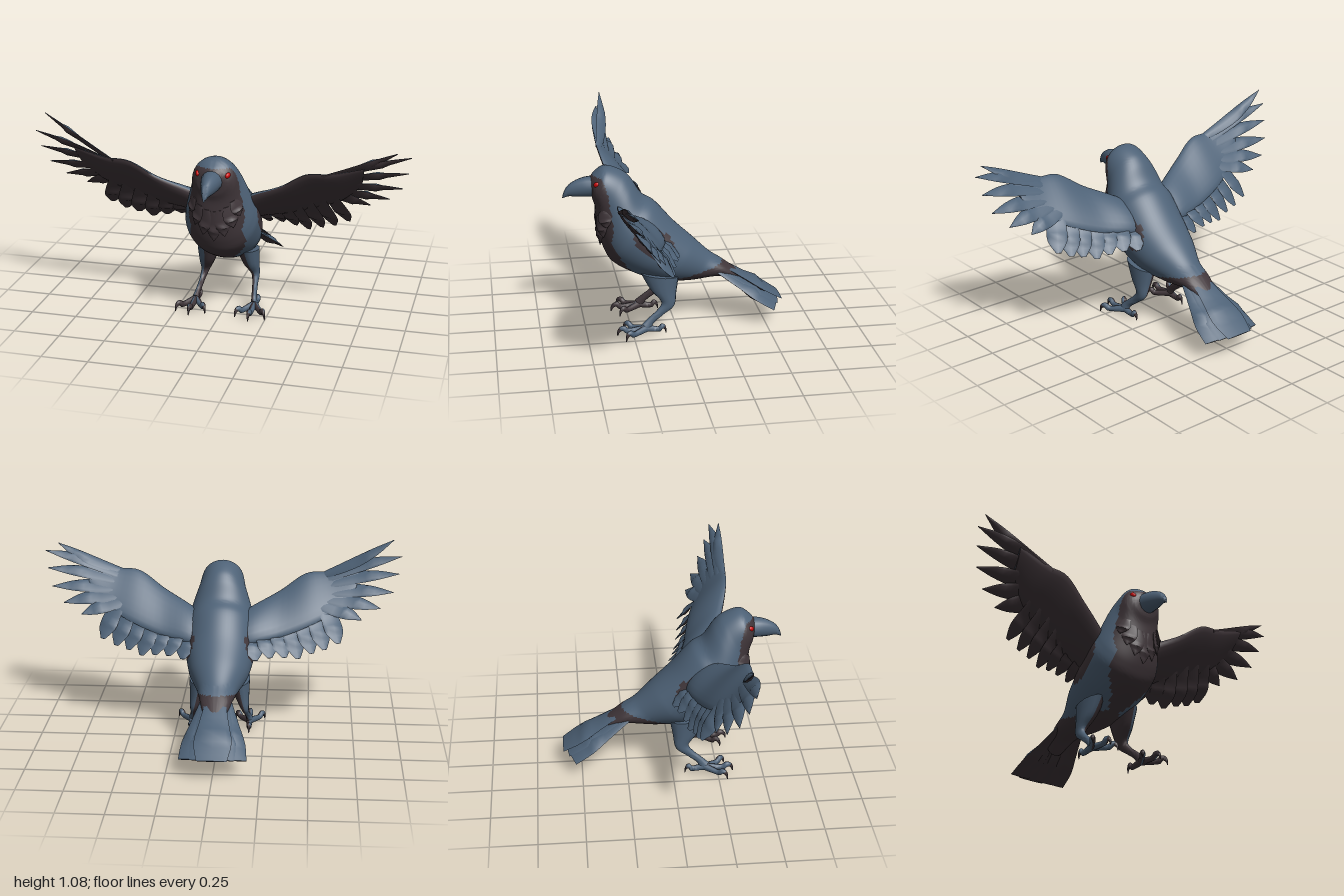
import * as THREE from 'three';
import { toCreasedNormals } from 'three/addons/utils/BufferGeometryUtils.js';

const V = (x, y, z) => new THREE.Vector3(x, y, z);
const paint = (name, color) => {
  const m = new THREE.MeshStandardMaterial({ color });
  m.name = name;
  return m;
};

export function createModel() {
  const blue = paint('slate blue plumage', 0x4e6277);
  const dark = paint('dark brown plumage', 0x40363a);
  const red = paint('red eye', 0xc80808);
  const bird = new THREE.Group();
  bird.name = 'bird';

  // Point finder for a skin over stations { a, b, w }: a and b are opposite rim points, w the half width
  const surface = (st, normal) => {
    const curve = (f) => new THREE.CatmullRomCurve3(st.map(f));
    const A = curve((s) => s.a), B = curve((s) => s.b), W = curve((s) => V(s.w, 0, 0));
    return (t, ang) => {
      const a = A.getPoint(t), b = B.getPoint(t), w = Math.max(0, W.getPoint(t).x);
      return a.clone().add(b).multiplyScalar(0.5)
        .addScaledVector(a.sub(b), Math.cos(ang) / 2)
        .addScaledVector(normal, Math.sin(ang) * w);
    };
  };

  // Closed skin; isDark(centre, sine, t) chooses the colour of each patch
  function loft(name, st, normal, isDark, rows = 16, sides = 12, crease = 1.1) {
    const at = surface(st, normal), pos = [], faces = [[], []];
    const mid = (s) => s.a.clone().add(s.b).multiplyScalar(0.5);
    const first = mid(st[0]), last = mid(st[st.length - 1]);
    const flip = st[0].a.clone().sub(st[0].b).cross(normal).dot(last.clone().sub(first)) < 0;
    for (let i = 0; i <= rows; i++)
      for (let j = 0; j < sides; j++) pos.push(...at(i / rows, (j / sides) * Math.PI * 2).toArray());
    const end = pos.length / 3;
    pos.push(...first.toArray(), ...last.toArray());
    for (let i = 0; i < rows; i++) {
      for (let j = 0; j < sides; j++) {
        const k = (j + 1) % sides, ang = ((j + 0.5) / sides) * Math.PI * 2, t = (i + 0.5) / rows;
        const p = i * sides + j, q = i * sides + k, r = p + sides, s = q + sides;
        const out = faces[isDark(at(t, ang), Math.sin(ang), t) ? 1 : 0];
        const add = (x, y, z) => (flip ? out.push(x, z, y) : out.push(x, y, z));
        add(p, q, r);
        add(q, s, r);
        if (i === 0) add(end, q, p);
        if (i === rows - 1) add(end + 1, r, s);
      }
    }
    let g = new THREE.BufferGeometry();
    g.setAttribute('position', new THREE.Float32BufferAttribute(pos, 3));
    g.setIndex([...faces[0], ...faces[1]]);
    g.addGroup(0, faces[0].length, 0);
    g.addGroup(faces[0].length, faces[1].length, 1);
    g = toCreasedNormals(g, crease);
    const mesh = new THREE.Mesh(g, [blue, dark]);
    mesh.name = name;
    bird.add(mesh);
    return at;
  }

  // Thin feather from root to tip; bow bends it sideways within its own plane
  const under = (c, s) => s < 0;
  const pointed = [0.6, 0.9, 1, 0.72, 0.04], blunt = [0.45, 0.6, 0.8, 1, 0.8];
  function feather(name, root, tip, half, up, bow = 0, shape = pointed, isDark = under, thick = 0.007) {
    const dir = tip.clone().sub(root).normalize();
    const n = up.clone().addScaledVector(dir, -up.dot(dir)).normalize();
    const edge = n.clone().cross(dir);
    const st = shape.map((w, i) => {
      const t = i / (shape.length - 1);
      const c = root.clone().lerp(tip, t).addScaledVector(edge, bow * Math.sin(t * Math.PI));
      return {
        a: c.clone().addScaledVector(edge, half * w), b: c.clone().addScaledVector(edge, -half * w),
        w: i === shape.length - 1 ? thick * 0.3 : thick,
      };
    });
    loft(name, st, n, isDark, 12, 8, 0.9);
  }

  // Stations in the middle plane: top z, y; bottom z, y; half width
  const profile = (rows) => rows.map(([az, ay, bz, by, w]) => ({ a: V(0, ay, az), b: V(0, by, bz), w }));

  // Head and body, dark on the throat, chest, belly and beneath each wing
  const bodySt = profile([
    [0.455, 0.865, 0.447, 0.765, 0.05], [0.43, 0.892, 0.443, 0.74, 0.085],
    [0.376, 0.925, 0.43, 0.70, 0.115], [0.28, 0.893, 0.425, 0.62, 0.132],
    [0.235, 0.85, 0.41, 0.53, 0.155], [0.175, 0.757, 0.385, 0.45, 0.185],
    [0.11, 0.714, 0.35, 0.39, 0.198], [0, 0.59, 0.24, 0.32, 0.192],
    [-0.1, 0.495, 0.1, 0.265, 0.165], [-0.2, 0.40, -0.05, 0.247, 0.11],
    [-0.27, 0.35, -0.27, 0.256, 0.08], [-0.37, 0.275, -0.37, 0.2, 0.05],
  ]);
  const edges = [[0.28, 0.15], [0.34, 0.245], [0.44, 0.31], [0.535, 0.355], [0.6, 0.345], [0.8, 0.37], [0.88, 0.4]];
  const bodyDark = ({ x, y, z }) => {
    if (y < 0.285 + Math.max(0, -z) * 0.25) return true;
    const u = (z - 0.13) * 0.8 + (y - 0.53) * 0.6, v = (y - 0.53) * 0.8 - (z - 0.13) * 0.6;
    if (Math.abs(x) > 0.1 && (u / 0.13) ** 2 + (v / 0.075) ** 2 < 1) return true;
    const i = edges.findIndex((e) => y < e[0]);
    if (i < 1) return false;
    const [y0, z0] = edges[i - 1], [y1, z1] = edges[i];
    return z > z0 + ((z1 - z0) * (y - y0)) / (y1 - y0);
  };
  const skin = loft('body', bodySt, V(1, 0, 0), bodyDark, 88, 64, 3);

  // Hooked beak
  loft('beak', profile([
    [0.44, 0.872, 0.43, 0.76, 0.058], [0.49, 0.866, 0.485, 0.759, 0.048], [0.54, 0.848, 0.53, 0.76, 0.034],
    [0.578, 0.82, 0.566, 0.764, 0.021], [0.598, 0.785, 0.588, 0.76, 0.011], [0.605, 0.757, 0.6, 0.755, 0.003],
  ]), V(1, 0, 0), () => false, 20, 16, 1.2);

  // Pointed throat feathers lying on the chest
  for (const al of [-1, -0.66, -0.33, 0, 0.33, 0.66, 1]) {
    const on = (i, off) => {
      const p = skin(i / 11, Math.PI + al);
      return p.addScaledVector(V(Math.sin(-al), 0, Math.cos(al)), off);
    };
    feather('throatFeather', on(2.7, -0.004), on(4.7 - 0.9 * Math.abs(al), 0.012), 0.042,
      V(Math.sin(-al), 0, Math.cos(al)), 0, pointed, () => true);
  }

  // Tail: wide middle feather over two lower outer ones
  const tailUp = V(0, 0.84, 0.54 * -1);
  feather('tailMiddle', V(0, 0.37, -0.2), V(0, 0.12, -0.6), 0.1, tailUp, 0, blunt, under, 0.012);
  for (const s of [-1, 1]) {
    feather('tailOuter', V(s * 0.045, 0.34, -0.19), V(s * 0.135, 0.105, -0.55), 0.06,
      V(s * 0.35, 0.84, -0.54), 0, blunt, under, 0.012);
    feather('tailInner', V(s * 0.035, 0.345, -0.2), V(s * 0.07, 0.115, -0.575), 0.06,
      V(s * 0.15, 0.84, -0.54), 0, blunt, under, 0.01);
  }

  for (const s of [-1, 1]) {
    // Eye
    const eye = new THREE.Mesh(new THREE.SphereGeometry(0.019, 16, 10), red);
    eye.name = s > 0 ? 'leftEye' : 'rightEye';
    eye.position.set(s * 0.08, 0.846, 0.425);
    eye.scale.set(0.6, 0.8, 1);
    eye.rotation.set(0.3, s * -0.4, 0);
    bird.add(eye);

    // Wing arm: leading point, trailing point, half thickness
    const wingUp = V(0, 0.72, -0.69);
    loft('wingArm', [
      [0.1, 0.65, 0.23, 0.1, 0.5, 0.08, 0.05], [0.18, 0.695, 0.265, 0.19, 0.53, 0.08, 0.045],
      [0.33, 0.77, 0.325, 0.33, 0.56, 0.11, 0.032], [0.475, 0.862, 0.362, 0.5, 0.62, 0.15, 0.025],
      [0.6, 0.873, 0.365, 0.64, 0.69, 0.21, 0.018], [0.77, 0.918, 0.368, 0.75, 0.8, 0.28, 0.008],
    ].map(([ax, ay, az, bx, by, bz, w]) => ({ a: V(s * ax, ay, az), b: V(s * bx, by, bz), w })),
    wingUp, under, 24, 20, 1.2);

    // Long outer flight feathers; the leading one is raised more on the right
    const lead = s > 0 ? [0.935, 1.01, 0.37] : [0.95, 1.075, 0.305];
    [lead, [1, 0.978, 0.32], [0.985, 0.885, 0.29], [0.955, 0.79, 0.25], [0.885, 0.71, 0.2], [0.78, 0.655, 0.16]]
      .forEach(([x, y, z], i) => {
        const f = i / 5;
        feather('outerFlightFeather', V(s * (0.56 - 0.04 * f), 0.85 - 0.12 * f, 0.352 - 0.12 * f), V(s * x, y, z),
          0.036 + 0.014 * f, V(s * -0.15, 0.72, -0.6), s * (i < 3 ? -0.02 : -0.01) * (i === 0 ? -1 : 1));
      });

    // Short inner flight feathers, each tilted to overlap the next
    [[0.655, 0.535, 0.1], [0.58, 0.5, 0.09], [0.51, 0.48, 0.08], [0.435, 0.455, 0.06],
      [0.36, 0.465, 0.045], [0.28, 0.47, 0.02], [0.2, 0.46, 0]].forEach(([x, y, z], i) => {
      const f = i / 6;
      feather('innerFlightFeather', V(s * (0.57 - 0.41 * f), 0.74 - 0.13 * f, 0.25 - 0.08 * f), V(s * x, y, z),
        0.055, V(s * 0.3, 0.72, -0.69), 0, [0.8, 0.9, 1, 0.95, 0.25]);
    });

    // Leg, dark on the inner side
    const side = V(s, 0, 0), inner = (c, n) => n < 0.2;
    loft('leg', [
      [0.11, 0.2, 0.34, -0.01, 0.31, 0.06], [0.125, 0.145, 0.24, 0.005, 0.225, 0.042],
      [0.143, 0.09, 0.17, 0.02, 0.15, 0.022], [0.15, 0.115, 0.132, 0.078, 0.105, 0.015],
      [0.158, 0.165, 0.09, 0.135, 0.06, 0.014], [0.165, 0.2, 0.06, 0.155, 0.025, 0.018],
    ].map(([x, az, ay, bz, by, w]) => ({ a: V(s * x, ay, az), b: V(s * x, by, bz), w })), side, inner, 24, 14, 1.2);

    // Three front toes and a hind toe, each ending in a curved dark claw
    for (const [turn, k] of [[0, 1], [0.6, 0.92], [-0.6, 0.9], [Math.PI, 0.66]]) {
      const dx = Math.sin(turn) * s, dz = Math.cos(turn);
      const p = (f, y) => V(s * 0.165 + dx * f * k, y, 0.175 + dz * f * k);
      const out = V(s * Math.abs(dz), 0, -dx * Math.sign(dz) * s);
      loft('toe', [
        [0, 0.055, 0, 0.013, 0.018], [0.06, 0.044, 0.06, 0.01, 0.015], [0.1, 0.04, 0.1, 0.008, 0.013],
        [0.122, 0.055, 0.115, 0.01, 0.016], [0.148, 0.05, 0.132, 0.026, 0.011],
        [0.162, 0.03, 0.148, 0.02, 0.007], [0.164, 0, 0.158, 0, 0.002],
      ].map(([af, ay, bf, by, w]) => ({ a: p(af, ay), b: p(bf, by), w })), out,
      (c, n, t) => t > 0.68 || n < 0.1, 20, 10, 1.2);
    }
  }
  return bird;
}
